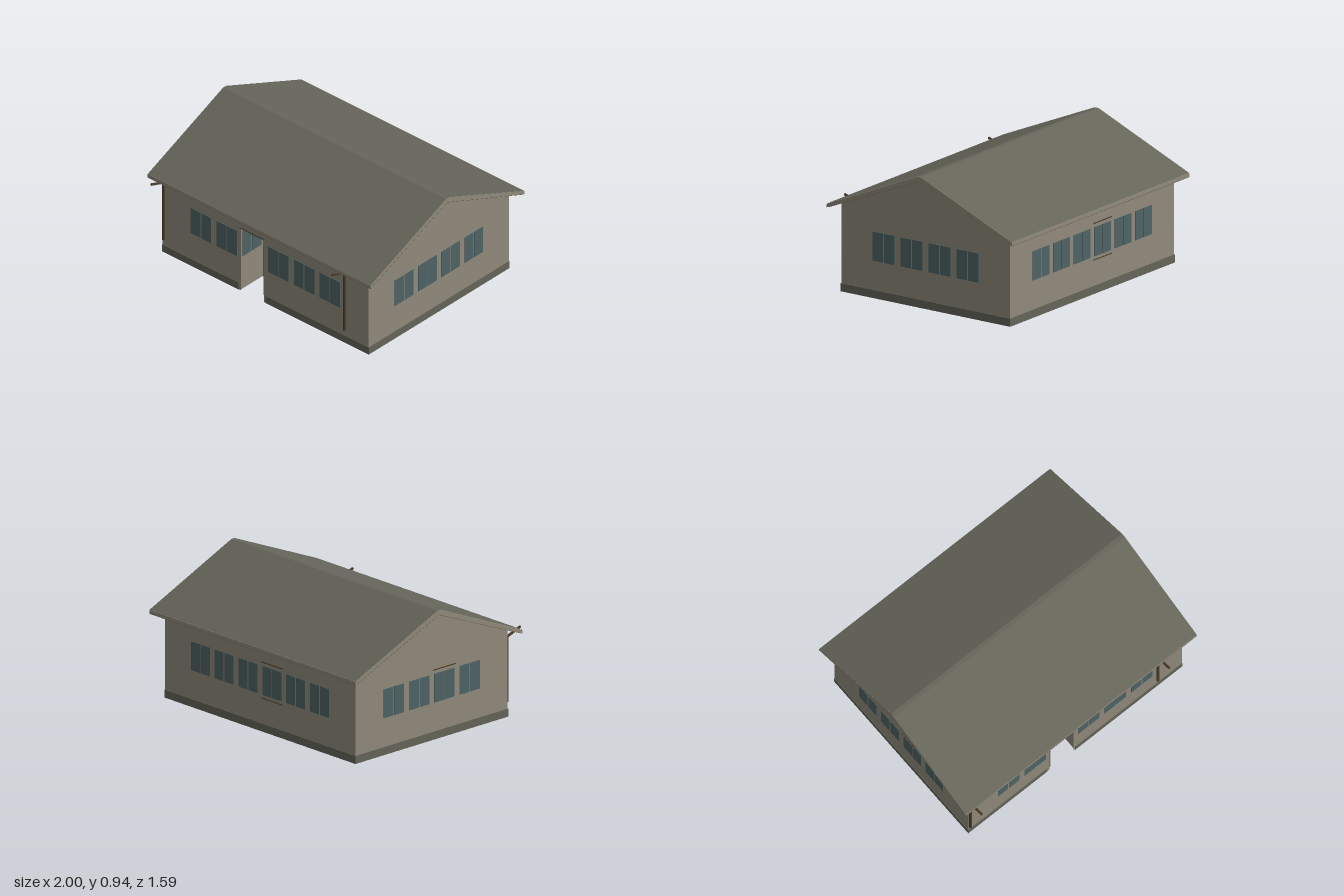
import * as THREE from 'three';

const mat = (name, color) => {
  const m = new THREE.MeshStandardMaterial({ color, side: THREE.DoubleSide });
  m.name = name;
  return m;
};

export function createModel() {
  const house = new THREE.Group();
  house.name = 'house';
  const plaster = mat('plaster', 0x918b7c);
  const slate = mat('slate', 0x65655a);
  const glass = mat('glass', 0x4f6466);
  const wood = mat('brownWood', 0x4c3d2b);

  const add = (name, geo, material, parent = house) => {
    const m = new THREE.Mesh(geo, material);
    m.name = name;
    parent.add(m);
    return m;
  };
  // box given by its lower and upper limits
  const box = (name, [x0, x1], [y0, y1], [z0, z1], material, parent) => {
    const m = add(name, new THREE.BoxGeometry(x1 - x0, y1 - y0, z1 - z0), material, parent);
    m.position.set((x0 + x1) / 2, (y0 + y1) / 2, (z0 + z1) / 2);
    return m;
  };
  const shape = (pts) => new THREE.Shape(pts.map(([a, b]) => new THREE.Vector2(a, b)));

  const X = 0.925, F = 0.67, B = -0.725, TOP = 0.615, CELL = 0.2312;
  const MID = (F + B) / 2, RIDGE = -0.03;

  // front wall with doorway, plain back wall
  const front = shape([[-X, 0], [-0.22, 0], [-0.22, 0.5], [-0.015, 0.5], [-0.015, 0], [X, 0], [X, TOP], [-X, TOP]]);
  add('frontWall', new THREE.ShapeGeometry(front), plaster).position.z = F;
  const back = add('backWall', new THREE.PlaneGeometry(2 * X, TOP), plaster);
  back.position.set(0, TOP / 2, B);
  back.rotation.y = Math.PI;

  // gable walls; shape x runs along -z
  const gable = shape([[-F, 0], [-B, 0], [-B, TOP], [-RIDGE, 0.905], [-F, TOP]]);
  for (const s of [-1, 1]) {
    const g = add(s > 0 ? 'leftGable' : 'rightGable', new THREE.ShapeGeometry(gable), plaster);
    g.rotation.y = Math.PI / 2;
    g.position.x = s * X;
  }

  // plinth band, broken at the door
  const py = [0, 0.056], t = 0.003;
  box('frontPlinthRight', [-X, -0.24], py, [F, F + t], slate);
  box('frontPlinthLeft', [0, X], py, [F, F + t], slate);
  box('backPlinth', [-X, X], py, [B - t, B], slate);
  for (const s of [-1, 1]) {
    const xs = s > 0 ? [X, X + t] : [-X - t, -X];
    box('sidePlinth', xs, py, [B - t, F + t], slate);
  }

  // twin-pane windows
  const windowPair = (x, z, turn) => {
    const w = new THREE.Group();
    w.name = 'window';
    for (const s of [-1, 1])
      box('pane', [s * 0.048 - 0.044, s * 0.048 + 0.044], [0.26, 0.463], [0, t], glass, w);
    w.position.set(x, 0, z);
    w.rotation.y = turn;
    house.add(w);
  };
  for (let i = -2.5; i <= 2.5; i++) {
    if (i !== -0.5) windowPair(i * CELL, F, 0);
    windowPair(i * CELL, B, Math.PI);
  }
  for (let i = -1.5; i <= 1.5; i++) {
    windowPair(X, MID + i * CELL, Math.PI / 2);
    windowPair(-X, MID + i * CELL, -Math.PI / 2);
  }

  // door frame and lintels
  box('doorLintel', [-0.222, -0.013], [0.496, 0.503], [F, F + 0.005], wood);
  for (const x of [-0.222, -0.017])
    box('doorJamb', [x, x + 0.004], [0.056, 0.5], [F - 0.01, F + 0.004], plaster);
  box('backLintel', [-0.22, -0.015], [0.488, 0.494], [B - 0.005, B], wood);
  box('backSill', [-0.22, -0.015], [0.234, 0.239], [B - 0.005, B], wood);
  box('sideLintel', [-X - 0.005, -X], [0.488, 0.494], [MID + 0.013, MID + 0.218], wood);

  // inner ring of rooms: ring walls and partitions
  const RX = 3 * CELL, RF = F - CELL, RB = B + CELL, H = 0.6, e = 0.002;
  box('innerFrontWall', [-X, X], [0, H], [RF - e, RF + e], plaster);
  box('innerBackWall', [-X, X], [0, H], [RB - e, RB + e], plaster);
  for (let k = -3; k <= 3; k++) {
    const x = k * CELL;
    box('partition', [x - e, x + e], [0, H], [RF, F - e], plaster);
    box('partition', [x - e, x + e], [0, H], [B + e, RB], plaster);
  }
  for (const s of [-1, 1]) {
    box('innerSideWall', [s * RX - e, s * RX + e], [0, H], [RB, RF], plaster);
    for (let k = -1; k <= 1; k++) {
      const z = MID + k * CELL, xs = s > 0 ? [RX, X - e] : [-X + e, -RX];
      box('partition', xs, [0, H], [z - e, z + e], plaster);
    }
  }
  box('ceiling', [-X + e, X - e], [H, H + e], [B + e, F - e], plaster);

  // entrance: panelled wall and windows inside the door
  box('entrancePanel', [-0.225, -0.006], [0, 0.235], [RF + e, RF + 0.006], slate);
  windowPair(-CELL / 2, RF + e, 0);
  windowPair(-CELL + e, F - CELL / 2, Math.PI / 2);

  // central floor slab with a one-cell shaft
  const floor = shape([[-RX, -RF], [RX, -RF], [RX, -RB], [-RX, -RB]]);
  const h0 = CELL, h1 = 2 * CELL, hz0 = MID - CELL, hz1 = MID;
  floor.holes.push(shape([[h0, -hz1], [h0, -hz0], [h1, -hz0], [h1, -hz1]]));
  const slab = add('floorSlab', new THREE.ShapeGeometry(floor), slate);
  slab.rotation.x = -Math.PI / 2;
  slab.position.y = 0.003;
  for (const x of [h0, h1]) box('shaftWall', [x - e, x + e], [0.004, H], [hz0, hz1], plaster);
  for (const z of [hz0, hz1]) box('shaftWall', [h0, h1], [0.004, H], [z - e, z + e], plaster);

  // roof: pale body with visible edges, slate top and brown underside; points are [z, y]
  const topLine = [[0.735, 0.615], [-0.015, 0.935], [-0.045, 0.935], [-0.795, 0.615]];
  const lowLine = [[-0.795, 0.59], [RIDGE, 0.905], [0.735, 0.59]];
  const body = new THREE.ExtrudeGeometry(
    shape([...topLine, ...lowLine].map(([z, y]) => [-z, y])), { depth: 2, bevelEnabled: false });
  body.rotateY(Math.PI / 2).translate(-1, 0, 0);
  add('roofBody', body, plaster);

  const sheet = (name, line, lift, material) => {
    const pos = [];
    for (let i = 0; i < line.length - 1; i++) {
      const [z0, y0] = line[i], [z1, y1] = line[i + 1];
      const a = [-1, y0 + lift, z0], b = [1, y0 + lift, z0];
      const c = [1, y1 + lift, z1], d = [-1, y1 + lift, z1];
      pos.push(...a, ...b, ...c, ...a, ...c, ...d);
    }
    const g = new THREE.BufferGeometry();
    g.setAttribute('position', new THREE.Float32BufferAttribute(pos, 3));
    g.computeVertexNormals();
    add(name, g, material);
  };
  sheet('roofCovering', topLine, 0.002, slate);
  sheet('roofUnderside', lowLine, -0.002, wood);

  // downpipes with sloping spouts
  for (const x of [-0.912, 0.712]) {
    box('downpipe', [x - 0.007, x + 0.007], [0.1, 0.565], [F, F + 0.013], wood);
    const dz = 0.122, dy = 0.043;
    const spout = add('spout', new THREE.BoxGeometry(0.014, 0.012, Math.hypot(dz, dy)), wood);
    spout.position.set(x, 0.581, 0.737);
    spout.rotation.x = -Math.atan2(dy, dz);
  }
  return house;
}
